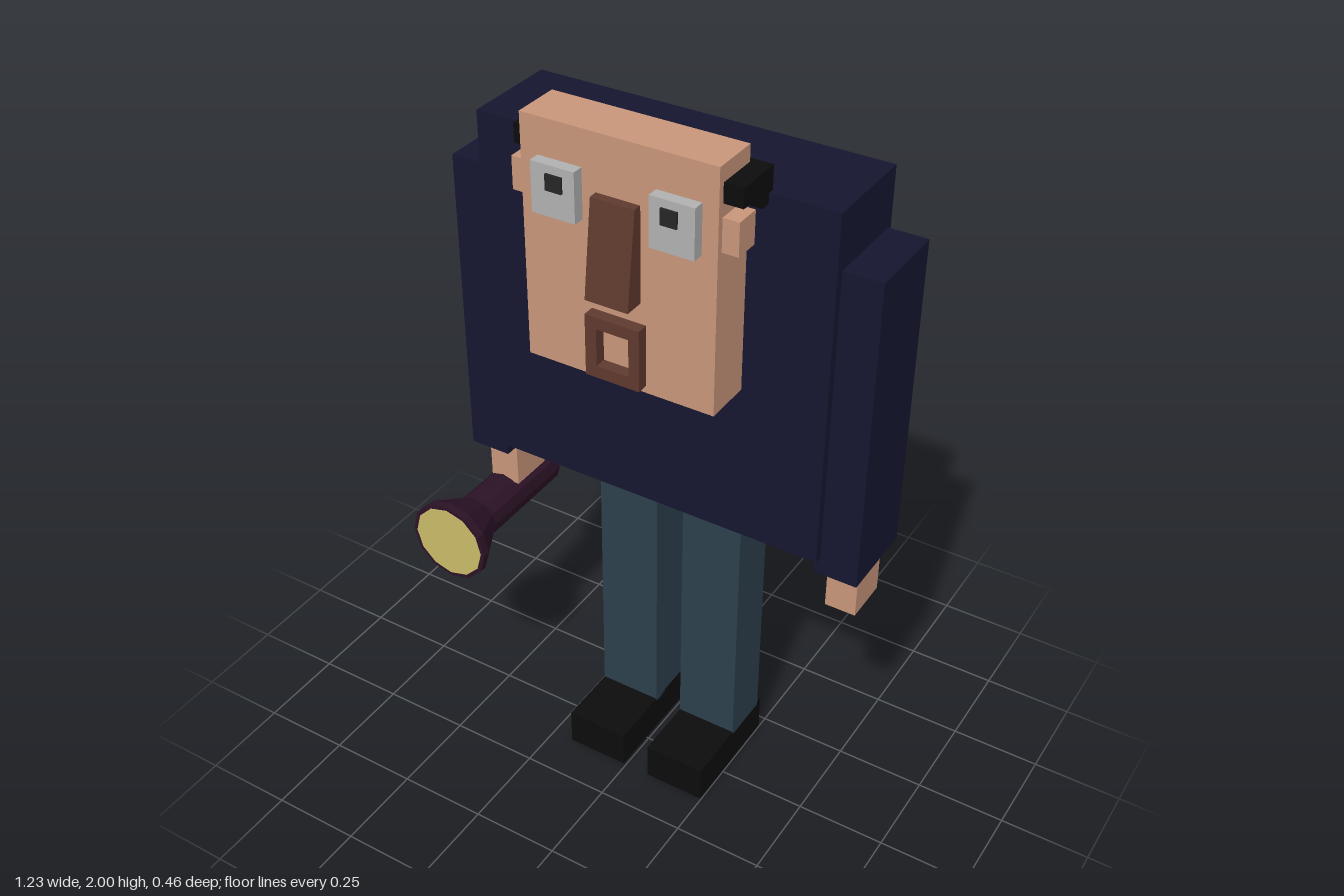
import * as THREE from 'three';

const mat = (color) => new THREE.MeshStandardMaterial({ color, flatShading: true });
const M = {
  coat: mat(0x15162f), trousers: mat(0x2c3f4c), skin: mat(0xc8957a), brown: mat(0x5f3a2e),
  eye: mat(0xb0b0b0), pupil: mat(0x262626), black: mat(0x0c0c0c), torch: mat(0x2b1226), lens: mat(0xc8ba68),
};

export function createModel() {
  const root = new THREE.Group();
  root.name = 'blockyMan';

  const add = (name, geometry, material) => {
    const mesh = new THREE.Mesh(geometry, material);
    mesh.name = name;
    root.add(mesh);
    return mesh;
  };
  // Box given by its extents on each axis
  const box = (name, material, [x0, x1], [y0, y1], [z0, z1]) =>
    add(name, new THREE.BoxGeometry(x1 - x0, y1 - y0, z1 - z0)
      .translate((x0 + x1) / 2, (y0 + y1) / 2, (z0 + z1) / 2), material);
  // Side profile of [z, y] points, extruded along x
  const sideProfile = (name, material, points, [x0, x1]) => {
    const shape = new THREE.Shape(points.map(([z, y]) => new THREE.Vector2(-z, y)));
    const g = new THREE.ExtrudeGeometry(shape, { depth: x1 - x0, bevelEnabled: false });
    return add(name, g.rotateY(Math.PI / 2).translate(x0, 0, 0), material);
  };

  // Torso and limbs; the right side is -x
  box('torso', M.coat, [-0.455, 0.511], [0.925, 1.895], [-0.228, 0.042]);
  const sides = [
    { side: 'right', arm: [-0.557, -0.44], hand: [-0.537, -0.448], leg: [-0.187, -0.008] },
    { side: 'left', arm: [0.496, 0.614], hand: [0.511, 0.596], leg: [0.072, 0.247] },
  ];
  for (const { side, arm, hand, leg } of sides) {
    box(side + 'Sleeve', M.coat, arm, [0.873, 1.742], [-0.213, 0.018]);
    box(side + 'Hand', M.skin, hand, [0.735, 0.9], [-0.16, -0.032]);
    box(side + 'Leg', M.trousers, leg, [0.1, 0.94], [-0.2, -0.055]);
    box(side + 'Shoe', M.black, leg, [0, 0.11], [-0.217, 0.123]);
  }

  // Head, ears and the band of hair round its back
  box('head', M.skin, [-0.234, 0.284], [1.36, 2], [0.042, 0.173]);
  box('rightEar', M.skin, [-0.273, -0.22], [1.787, 1.873], [0.087, 0.157]);
  box('leftEar', M.skin, [0.27, 0.327], [1.787, 1.873], [0.087, 0.157]);
  sideProfile('hair', M.black, [
    [0.156, 1.957], [0.025, 1.957], [0.025, 1.868], [0.07, 1.868], [0.085, 1.9], [0.156, 1.907],
  ], [-0.264, 0.334]);

  // Face
  box('rightEye', M.eye, [-0.187, -0.069], [1.775, 1.905], [0.165, 0.204]);
  box('leftEye', M.eye, [0.126, 0.243], [1.775, 1.905], [0.165, 0.204]);
  box('rightPupil', M.pupil, [-0.145, -0.101], [1.843, 1.884], [0.2, 0.21]);
  box('leftPupil', M.pupil, [0.157, 0.2], [1.843, 1.884], [0.2, 0.21]);
  sideProfile('nose', M.brown, [
    [0.165, 1.602], [0.228, 1.602], [0.197, 1.853], [0.165, 1.853],
  ], [-0.032, 0.085]);

  // Square mouth ring
  const rect = (T, x0, x1, y0, y1) => new T([[x0, y0], [x1, y0], [x1, y1], [x0, y1]]
    .map((p) => new THREE.Vector2(...p)));
  const lips = rect(THREE.Shape, -0.049, 0.1, 1.38, 1.547);
  lips.holes.push(rect(THREE.Path, -0.018, 0.071, 1.413, 1.515));
  add('mouth', new THREE.ExtrudeGeometry(lips, { depth: 0.04, bevelEnabled: false })
    .translate(0, 0, 0.165), M.brown);

  // Torch hanging from the right hand, pointing forward
  const torch = new THREE.Group();
  torch.name = 'torch';
  torch.position.set(-0.5, 0.683, 0);
  torch.rotation.x = Math.PI / 2;
  root.add(torch);
  const profile = [[0, -0.215], [0.065, -0.215], [0.065, 0.1], [0.119, 0.205], [0.119, 0.226], [0, 0.226]]
    .map((p) => new THREE.Vector2(...p));
  const body = add('torchBody', new THREE.LatheGeometry(profile, 12), M.torch);
  const lens = add('torchLens', new THREE.CylinderGeometry(0.107, 0.107, 0.01, 12).translate(0, 0.223, 0), M.lens);
  torch.add(body, lens);

  return root;
}
